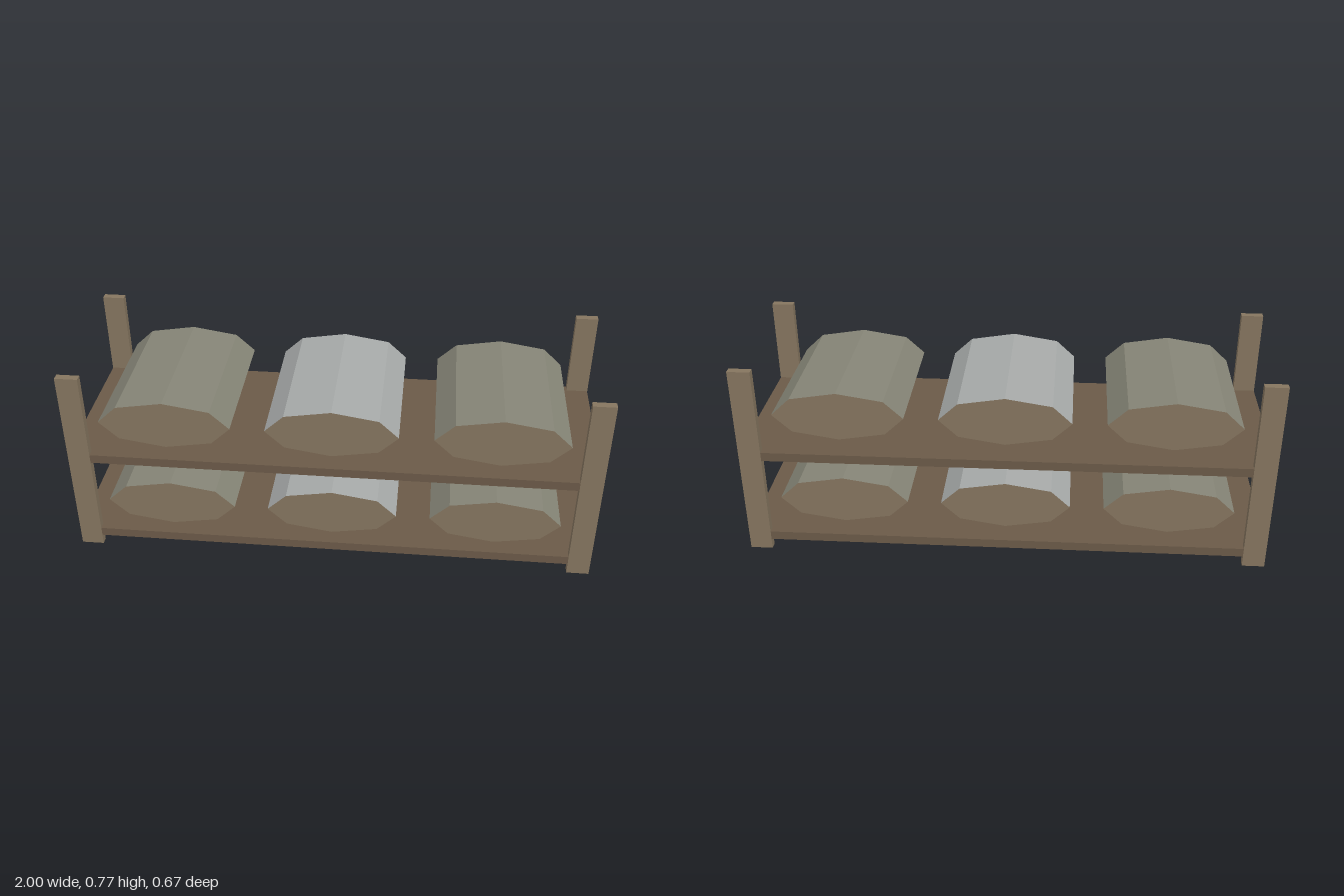
import * as THREE from 'three';

const material = (color) => new THREE.MeshStandardMaterial({ color, flatShading: true });

export function createModel() {
  const group = new THREE.Group();
  group.name = 'storageRack';

  const postWood = material(0x85755f);
  const shelfWood = material(0x6b5a48);
  const oliveCloth = material(0x858476);
  const greyCloth = material(0xa6a9a8);

  const add = (name, geometry, mat, x, y, z) => {
    const mesh = new THREE.Mesh(geometry, mat);
    mesh.name = name;
    mesh.position.set(x, y, z);
    group.add(mesh);
  };

  // Four flat corner posts
  const postGeometry = new THREE.BoxGeometry(0.085, 0.767, 0.029);
  for (const sx of [-1, 1]) {
    for (const sz of [-1, 1]) {
      const name = (sz > 0 ? 'front' : 'back') + (sx > 0 ? 'Left' : 'Right') + 'Post';
      add(name, postGeometry, postWood, sx * 0.9575, 0.3835, sz * 0.3185);
    }
  }

  // Shelf boards, a hair inside the outer faces of the posts
  const shelfGeometry = new THREE.BoxGeometry(1.998, 0.035, 0.664);

  // Flattened eight-sided roll lying front to back, with wood-coloured ends
  const rollGeometry = new THREE.CylinderGeometry(1, 1, 0.583, 8);
  rollGeometry.rotateX(Math.PI / 2);
  rollGeometry.scale(0.248, 0.096, 1);

  for (const [level, y] of [['lower', 0.0595], ['upper', 0.415]]) {
    add(level + 'Shelf', shelfGeometry, shelfWood, 0, y, 0);
    const rollY = level === 'lower' ? 0.203 : 0.567;
    for (const [side, x] of [['Right', -0.625], ['Middle', 0], ['Left', 0.625]]) {
      const cloth = x === 0 ? greyCloth : oliveCloth;
      add(level + side + 'Roll', rollGeometry, [cloth, postWood, postWood], x, rollY, 0.0125);
    }
  }

  return group;
}
